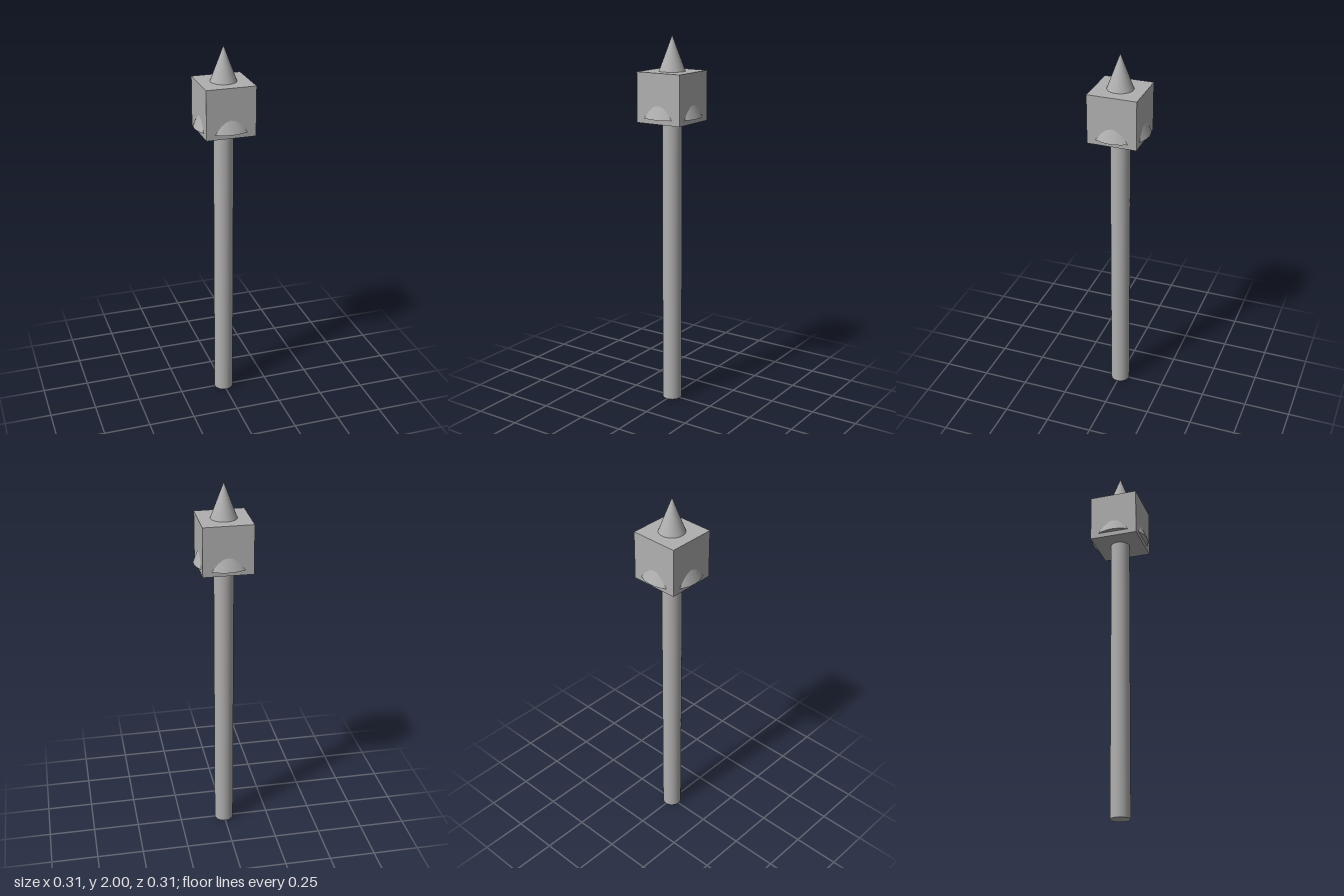
import * as THREE from 'three';

export function createModel() {
  const model = new THREE.Group();
  const grey = new THREE.MeshStandardMaterial({ color: 0xb0b0b0 });
  grey.name = 'plain grey';

  const add = (name, geometry, y) => {
    const mesh = new THREE.Mesh(geometry, grey);
    mesh.name = name;
    mesh.position.y = y;
    model.add(mesh);
  };

  // Long round pole, running up into the head
  const poleHeight = 1.57;
  add('pole', new THREE.CylinderGeometry(0.052, 0.052, poleHeight, 32), poleHeight / 2);

  // Cubic head
  add('headBlock', new THREE.BoxGeometry(0.262, 0.262, 0.262), 1.685);

  // Pointed tip, whose wide base breaks through the four sides of the block
  const tipBase = 1.58;
  add('spearTip', new THREE.ConeGeometry(0.157, 2 - tipBase, 32), (2 + tipBase) / 2);

  return model;
}
